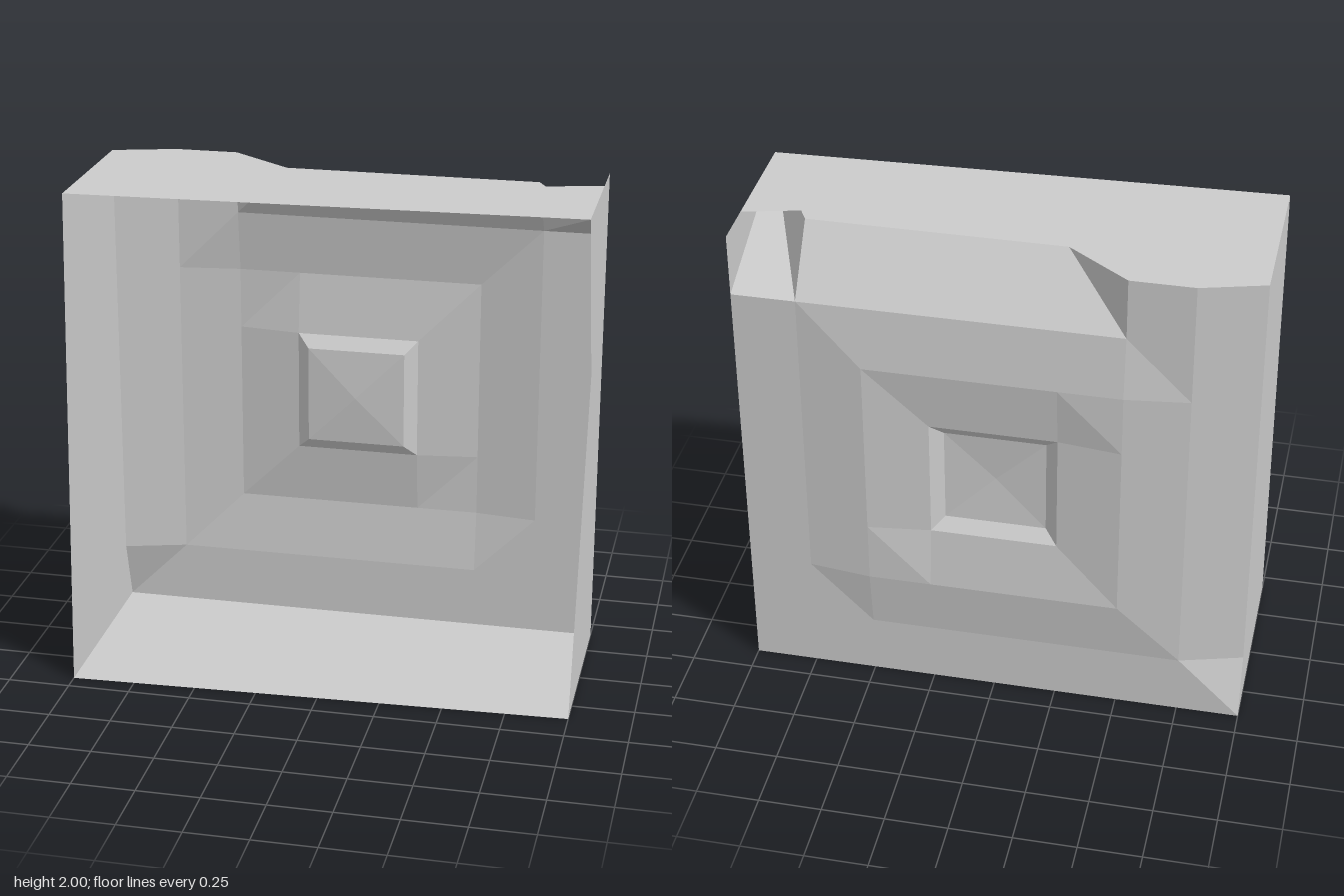
import * as THREE from 'three';

const material = new THREE.MeshStandardMaterial({
  color: 0xcccccc, flatShading: true, side: THREE.DoubleSide,
});

// Flat sheet from a 2D outline, placed in 3D by a mapping rule
function sheet(name, outline, place) {
  const geo = new THREE.ShapeGeometry(new THREE.Shape(outline.map(([a, b]) => new THREE.Vector2(a, b))));
  const pos = geo.attributes.position;
  for (let i = 0; i < pos.count; i++) pos.setXYZ(i, ...place(pos.getX(i), pos.getY(i)));
  geo.computeVertexNormals();
  const mesh = new THREE.Mesh(geo, material);
  mesh.name = name;
  return mesh;
}

// Loose quads (corner loops a, b, c, d) as one flat-shaded mesh
function quadMesh(name, quads) {
  const pts = quads.flatMap(([a, b, c, d]) => [a, b, c, a, c, d]);
  const geo = new THREE.BufferGeometry();
  geo.setAttribute('position', new THREE.Float32BufferAttribute(pts.flat(), 3));
  geo.computeVertexNormals();
  const mesh = new THREE.Mesh(geo, material);
  mesh.name = name;
  return mesh;
}

// Depth of the back panel at grid point (x, y)
const topRow = [-0.33, -0.4, -0.4, -0.215, -0.215, -0.215, -0.215, -0.215, 0.25];
function panelDepth(x, y) {
  if (y === 2) return topRow[(x + 1) * 4];          // dented upper edge
  if (x === -1 && y > 0) return -0.33;              // pushed-in side edge
  const ring = Math.max(Math.abs(x), Math.abs(y - 1));
  return ring === 0.5 ? -0.43 : -0.4;               // raised square ring
}

function backPanel() {
  const s = 0.25, quads = [];
  const p = (i, j) => {
    const x = -1 + i * s, y = j * s;
    return [x, y, panelDepth(x, y)];
  };
  for (let i = 0; i < 8; i++) {
    for (let j = 0; j < 8; j++) {
      const inHole = (i === 3 || i === 4) && (j === 3 || j === 4);
      if (!inHole) quads.push([p(i, j), p(i + 1, j), p(i + 1, j + 1), p(i, j + 1)]);
    }
  }
  return quadMesh('backPanel', quads);
}

// Bevelled square inset, with a slightly domed floor of four facets
function centreInset() {
  const group = new THREE.Group();
  group.name = 'centreInset';
  const corners = [[-1, -1], [1, -1], [1, 1], [-1, 1]];
  const at = (k, r, z) => [corners[k % 4][0] * r, 1 + corners[k % 4][1] * r, z];
  const bevel = [], floor = [];
  for (let k = 0; k < 4; k++) {
    bevel.push([at(k, 0.25, -0.4), at(k + 1, 0.25, -0.4), at(k + 1, 0.2, -0.36), at(k, 0.2, -0.36)]);
    const [cx, cy] = corners[k];
    const sideA = [cx * 0.2, 1, -0.36], sideB = [0, 1 + cy * 0.2, -0.36];
    const corner = at(k, 0.2, -0.36), middle = [0, 1, -0.345];
    floor.push(cx * cy > 0 ? [middle, sideA, corner, sideB] : [middle, sideB, corner, sideA]);
  }
  group.add(quadMesh('insetBevel', bevel), quadMesh('insetFloor', floor));
  return group;
}

export function createModel() {
  const model = new THREE.Group();
  model.name = 'openTray';

  // Side walls: outlines in (z, y)
  model.add(
    sheet('leftWall', [[-0.4, 0], [0.36, 0], [0, 1.3], [0.25, 2], [-0.4, 2]], (z, y) => [1, y, z]),
    sheet('rightWall', [[-0.4, 0], [0.43, 0], [0.32, 2], [-0.33, 2], [-0.33, 0.25]], (z, y) => [-1, y, z]),
  );

  // Floor and top sheet: outlines in (x, z)
  model.add(
    sheet('bottomWall', [[-1, -0.4], [1, -0.4], [1, 0.36], [-1, 0.43]], (x, z) => [x, 0, z]),
    sheet('topWall', [
      [-1, 0.32], [1, 0.25], [1, -0.215], [0.78, -0.16], [0.75, -0.215],
      [-0.25, -0.215], [-0.5, -0.4], [-0.75, -0.4], [-1, -0.33],
    ], (x, z) => [x, 2, z]),
  );

  model.add(backPanel(), centreInset());
  return model;
}
